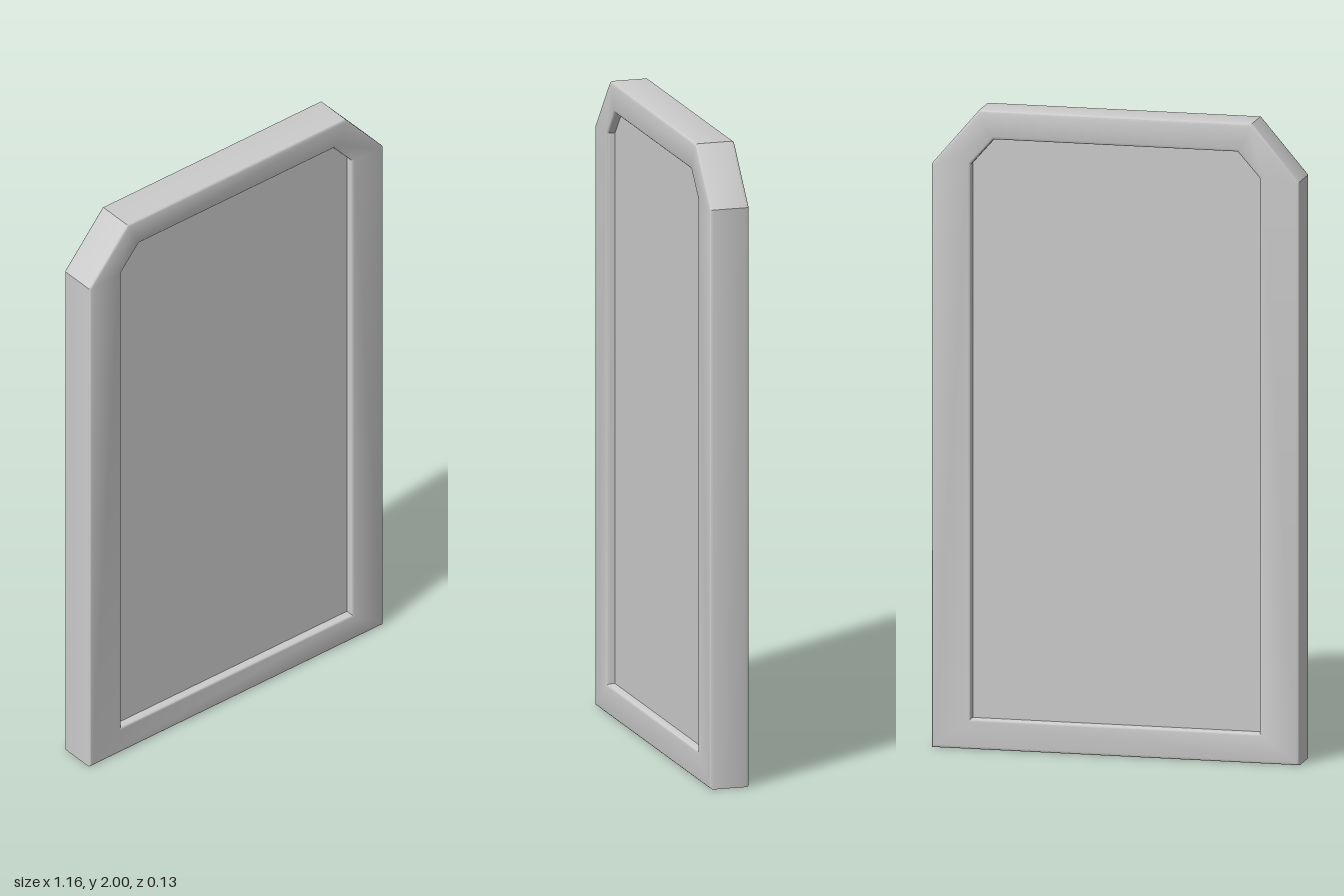
import * as THREE from 'three';
import { toCreasedNormals } from 'three/addons/utils/BufferGeometryUtils.js';

// Rectangle with both upper corners cut off
function outline(halfWidth, bottom, top, cutX, cutY) {
  return [
    [-halfWidth, bottom], [halfWidth, bottom], [halfWidth, top - cutY],
    [halfWidth - cutX, top], [-halfWidth + cutX, top], [-halfWidth, top - cutY],
  ].map(([x, y]) => new THREE.Vector2(x, y));
}

export function createModel() {
  const group = new THREE.Group();
  const material = new THREE.MeshStandardMaterial({ color: 0xcccccc });
  const thickness = 0.126, recess = 0.026, bevel = 0.009;

  const add = (name, geometry) => {
    const mesh = new THREE.Mesh(toCreasedNormals(geometry, 0.6), material);
    mesh.name = name;
    group.add(mesh);
  };

  // Frame: rounded edges around the outside and the opening
  const frame = new THREE.Shape(outline(0.58, 0, 2, 0.15, 0.175));
  frame.holes.push(new THREE.Path(outline(0.455, 0.095, 1.91, 0.07, 0.08)));
  const frameGeometry = new THREE.ExtrudeGeometry(frame, {
    depth: thickness - 2 * bevel,
    bevelThickness: bevel, bevelSize: bevel, bevelOffset: -bevel, bevelSegments: 3,
  });
  add('frame', frameGeometry.translate(0, 0, bevel - thickness / 2));

  // Panel: sunk equally on front and back, edges tucked into the frame
  const depth = thickness - 2 * recess;
  const panel = new THREE.Shape(outline(0.465, 0.085, 1.92, 0.07, 0.08));
  const panelGeometry = new THREE.ExtrudeGeometry(panel, { depth, bevelEnabled: false });
  add('panel', panelGeometry.translate(0, 0, -depth / 2));

  return group;
}
